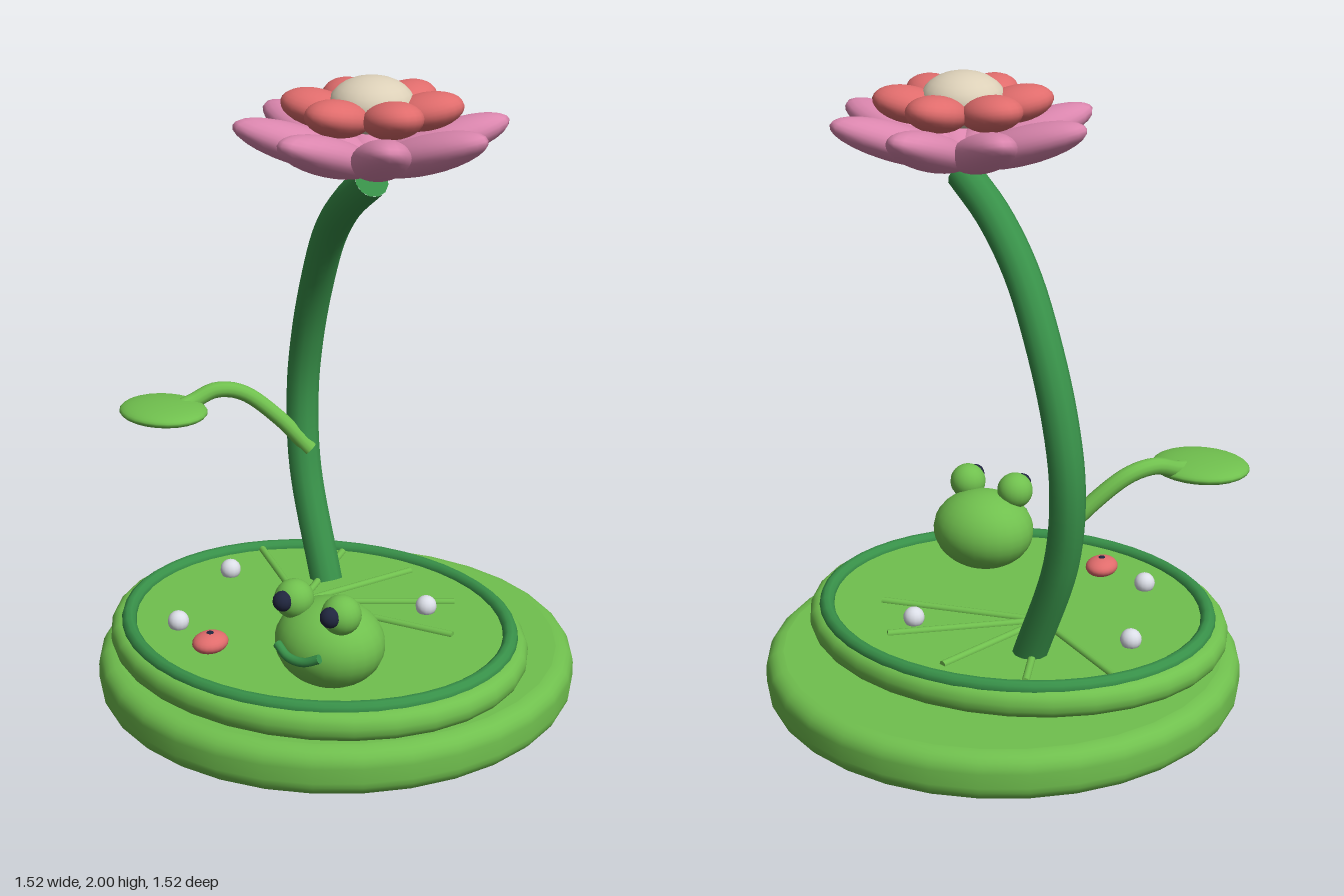
import * as THREE from 'three';

const mat = (name, color) => {
  const m = new THREE.MeshStandardMaterial({ color });
  m.name = name;
  return m;
};

export function createModel() {
  const leafGreen = mat('leaf green', 0x70c04e);
  const stemGreen = mat('stem green', 0x389149);
  const pink = mat('petal pink', 0xdb86ae);
  const coral = mat('coral', 0xe06c6c);
  const cream = mat('cream', 0xdcd0b8);
  const pearl = mat('pearl white', 0xdcdfe8);
  const navy = mat('navy', 0x20263e);

  const model = new THREE.Group();
  model.name = 'lilyPadLamp';

  const add = (name, geometry, material, parent = model) => {
    const mesh = new THREE.Mesh(geometry, material);
    mesh.name = name;
    parent.add(mesh);
    return mesh;
  };
  const ellipsoid = (name, material, [x, y, z], [rx, ry, rz], parent = model, seg = 20) => {
    const mesh = add(name, new THREE.SphereGeometry(1, seg, Math.ceil(seg * 0.7)), material, parent);
    mesh.position.set(x, y, z);
    mesh.scale.set(rx, ry, rz);
    return mesh;
  };
  const tube = (name, material, points, radius, seg = 32, capped = true) => {
    const path = new THREE.CatmullRomCurve3(points.map((p) => new THREE.Vector3(...p)));
    add(name, new THREE.TubeGeometry(path, seg, radius, 12), material);
    if (!capped) return;
    for (const t of [0, 1]) {
      const cap = add(name + 'End', new THREE.CircleGeometry(radius, 12), material);
      const dir = path.getTangent(t).multiplyScalar(t ? 1 : -1);
      cap.position.copy(path.getPoint(t));
      cap.quaternion.setFromUnitVectors(new THREE.Vector3(0, 0, 1), dir);
    }
  };

  // Disc with rounded rims: flat faces keep their own flat normals
  const roundedDisc = (name, radius, y0, y1, corner) => {
    const profile = [new THREE.Vector2(0, y0), new THREE.Vector2(radius - corner - 0.002, y0)];
    for (const [cy, start] of [[y0 + corner, -Math.PI / 2], [y1 - corner, 0]]) {
      for (let i = 0; i <= 5; i++) {
        const a = start + (i / 5) * (Math.PI / 2);
        profile.push(new THREE.Vector2(radius - corner + Math.cos(a) * corner, cy + Math.sin(a) * corner));
      }
    }
    profile.push(new THREE.Vector2(radius - corner - 0.002, y1), new THREE.Vector2(0, y1));
    return add(name, new THREE.LatheGeometry(profile, 32), leafGreen);
  };

  // Base and oval lily pad
  roundedDisc('base', 0.76, 0.004, 0.16, 0.055);
  const pad = roundedDisc('lilyPad', 0.695, 0.16, 0.252, 0.042);
  pad.scale.z = 0.605 / 0.695;
  pad.position.z = 0.095;

  // Raised rim
  const rim = add('padRim', new THREE.TorusGeometry(0.63, 0.025, 10, 48), stemGreen);
  rim.rotation.x = Math.PI / 2;
  rim.scale.y = 0.56 / 0.63;
  rim.position.set(0, 0.25, 0.09);

  // Pad veins fanning out towards the back
  const veinTips = [[-0.5, -0.22], [-0.275, -0.375], [0, -0.395], [0.257, -0.29], [0.395, -0.09]];
  for (const [x, z] of veinTips) {
    tube('padVein', leafGreen, [[-0.13, 0.254, 0.02], [x, 0.254, z]], 0.012, 1);
  }

  // Curved main stem
  tube('stem', stemGreen, [
    [-0.19, 0.24, -0.185], [-0.325, 0.6, -0.24], [-0.355, 0.85, -0.265], [-0.325, 1.05, -0.255],
    [-0.25, 1.26, -0.215], [-0.14, 1.45, -0.145], [0.0, 1.59, -0.06], [0.135, 1.69, 0],
  ], 0.054, 40);

  // Side leaf and its stalk
  tube('leafStalk', leafGreen, [
    [-0.3, 0.665, -0.235], [-0.385, 0.775, -0.175], [-0.475, 0.862, -0.1],
    [-0.53, 0.877, -0.03], [-0.565, 0.85, 0.04], [-0.58, 0.838, 0.09],
  ], 0.026, 24);
  ellipsoid('sideLeaf', leafGreen, [-0.608, 0.835, 0.135], [0.152, 0.033, 0.132], model, 24);

  // Flower: two petal rings and a domed heart
  const flower = new THREE.Group();
  flower.name = 'flower';
  flower.position.set(0.134, 0, 0);
  model.add(flower);
  const petalRing = (name, material, count, offset, r, y, size, tilt) => {
    for (let i = 0; i < count; i++) {
      const arm = new THREE.Group();
      arm.name = name + 'Arm';
      arm.rotation.y = offset + (i / count) * Math.PI * 2;
      flower.add(arm);
      ellipsoid(name, material, [r, y, 0], size, arm).rotation.z = tilt;
    }
  };
  petalRing('outerPetal', pink, 8, 0, 0.203, 1.796, [0.215, 0.058, 0.085], 0.32);
  petalRing('innerPetal', coral, 6, Math.PI / 6, 0.16, 1.9, [0.112, 0.055, 0.086], 0.2);
  ellipsoid('flowerHeart', cream, [0, 1.915, 0], [0.128, 0.085, 0.128], flower);

  // Frog
  const frog = new THREE.Group();
  frog.name = 'frog';
  model.add(frog);
  ellipsoid('frogBody', leafGreen, [0.265, 0.365, 0.358], [0.173, 0.133, 0.155], frog, 24);
  for (const s of [-1, 1]) {
    ellipsoid('frogEye', leafGreen, [0.265 + s * 0.09, 0.5, 0.415], [0.06, 0.06, 0.06], frog);
    ellipsoid('frogPupil', navy, [0.265 + s * 0.09, 0.51, 0.467], [0.031, 0.031, 0.031], frog, 14);
  }
  tube('frogMouth', stemGreen, [
    [0.185, 0.388, 0.505], [0.235, 0.366, 0.518], [0.295, 0.366, 0.518], [0.345, 0.388, 0.505],
  ], 0.014, 10);

  // Coral bead with a dark dot, and pearls
  ellipsoid('coralBead', coral, [-0.135, 0.274, 0.45], [0.052, 0.032, 0.061]);
  ellipsoid('beadDot', navy, [-0.135, 0.304, 0.45], [0.012, 0.006, 0.012], model, 10);
  for (const [x, z] of [[-0.45, 0], [-0.315, 0.4], [0.225, -0.18]]) {
    ellipsoid('pearl', pearl, [x, 0.272, z], [0.034, 0.034, 0.034], model, 14);
  }

  return model;
}
